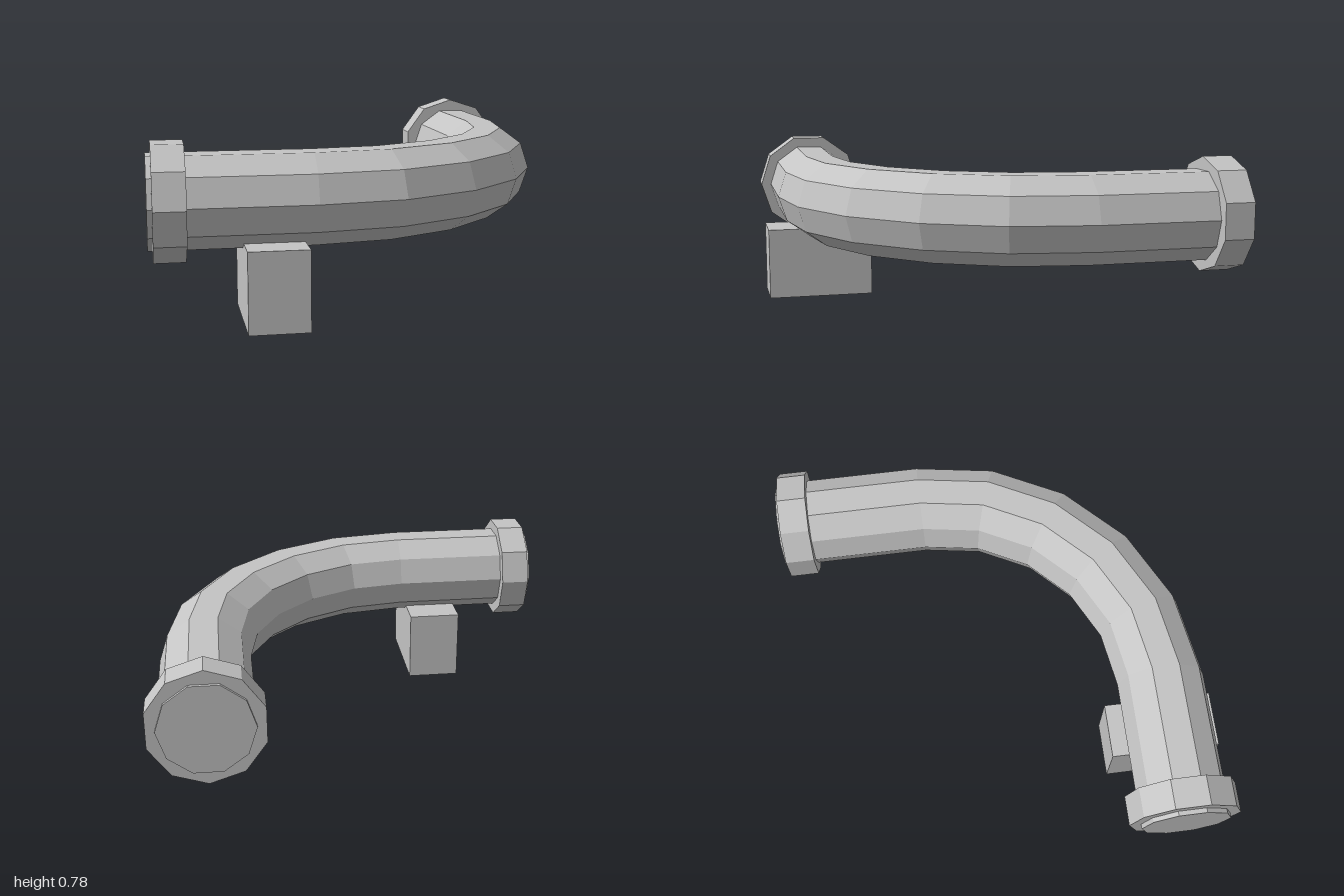
import * as THREE from 'three';

const SIDES = 10;
const AXIS_Y = 0.524;     // height of the pipe's centre line
const AXIS = 0.742;       // distance of both straight runs from the middle
const BEND = -0.3;        // x and z of the bend's centre

// Ten-sided pipe: straight run, quarter bend in five steps, straight run
function pipeGeometry(radius) {
  const steps = 5, stations = steps + 2;
  const geo = new THREE.CylinderGeometry(radius, radius, 1, SIDES, stations);
  const p = geo.attributes.position;
  for (let i = 0; i < p.count; i++) {
    const station = Math.round((p.getY(i) + 0.5) * stations);
    const a = THREE.MathUtils.clamp(station - 1, 0, steps) / steps * Math.PI / 2;
    const reach = AXIS - BEND + p.getZ(i);
    let x = BEND + Math.sin(a) * reach;
    let z = BEND + Math.cos(a) * reach;
    if (station === 0) x = -1;
    if (station === stations) z = -1;
    p.setXYZ(i, x, AXIS_Y - p.getX(i), z);
  }
  geo.computeVertexNormals();
  return geo;
}

export function createModel() {
  const group = new THREE.Group();
  const grey = new THREE.MeshStandardMaterial({ color: 0xc4c4c4, flatShading: true });
  grey.name = 'grey metal';

  const add = (name, geo, x = 0, y = 0, z = 0) => {
    const mesh = new THREE.Mesh(geo, grey);
    mesh.name = name;
    mesh.position.set(x, y, z);
    group.add(mesh);
    return mesh;
  };

  add('bentPipe', pipeGeometry(0.208));

  // Collars just short of each open end
  const collar = new THREE.CylinderGeometry(0.26, 0.26, 0.137, SIDES);
  add('frontCollar', collar, -0.91, AXIS_Y, 0.74).rotation.z = Math.PI / 2;
  add('backCollar', collar, AXIS, AXIS_Y, -0.917).rotation.x = Math.PI / 2;

  // Block under the front run
  add('supportBlock', new THREE.BoxGeometry(0.26, 0.35, 0.52), -0.475, 0.175, 0.74);

  return group;
}
